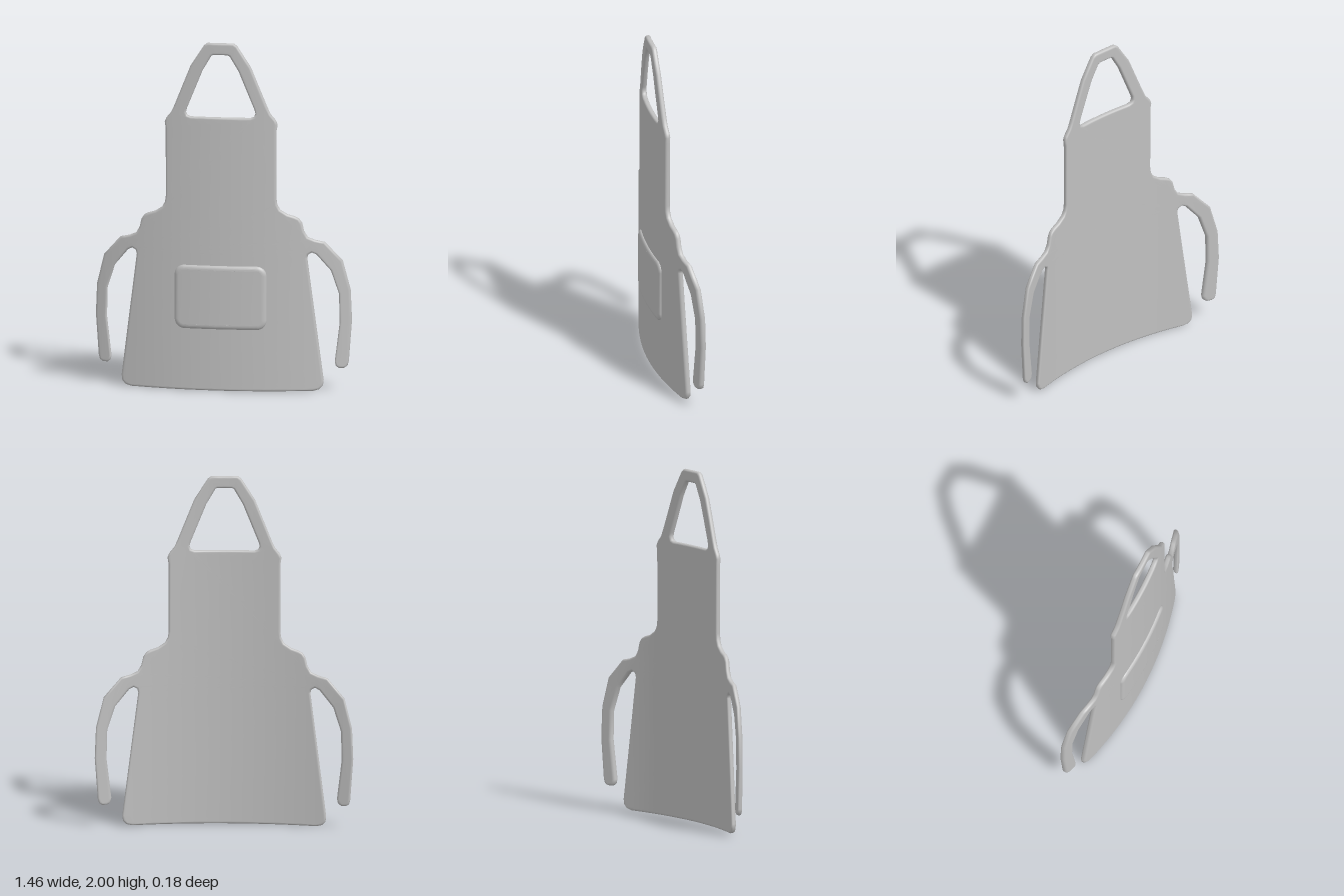
import * as THREE from 'three';
import { mergeVertices } from 'three/addons/utils/BufferGeometryUtils.js';

const CURVE = 0.26;   // how strongly the cloth wraps backwards
const MAX_DX = 0.05;  // widest facet across the bend

// Split triangles until no edge spans more than MAX_DX in x, then wrap the sheet
function wrapGeometry(geometry) {
  const source = geometry.index ? geometry.toNonIndexed() : geometry;
  const p = source.attributes.position;
  const stack = [];
  for (let i = 0; i < p.count; i += 3) {
    stack.push([0, 1, 2].map((j) => new THREE.Vector3().fromBufferAttribute(p, i + j)));
  }
  const out = [];
  while (stack.length) {
    const t = stack.pop();
    const spans = t.map((v, j) => Math.abs(v.x - t[(j + 1) % 3].x));
    const j = spans.indexOf(Math.max(...spans));
    if (spans[j] > MAX_DX) {
      const a = t[j], b = t[(j + 1) % 3], c = t[(j + 2) % 3];
      const m = a.clone().add(b).multiplyScalar(0.5);
      stack.push([a, m, c], [m, b, c]);
    } else {
      for (const v of t) out.push(v.x, v.y, v.z - CURVE * v.x * v.x);
    }
  }
  const bent = new THREE.BufferGeometry();
  bent.setAttribute('position', new THREE.Float32BufferAttribute(out, 3));
  const smooth = mergeVertices(bent, 1e-4);
  smooth.computeVertexNormals();
  return smooth;
}

// Soft-edged slab between two depths, kept inside the drawn outline
function sheet(shape, back, front, bevelSize, bevelThickness, bevelSegments) {
  const geometry = new THREE.ExtrudeGeometry(shape, {
    depth: front - back - 2 * bevelThickness, bevelEnabled: true,
    bevelSize, bevelThickness, bevelSegments, bevelOffset: -bevelSize, curveSegments: 6,
  });
  geometry.translate(0, 0, back + bevelThickness);
  return wrapGeometry(geometry);
}

// Closed symmetric outline from its +x half
function mirrored(half) {
  const left = half.map(([x, y]) => [-x, y]).reverse();
  return [...half, ...left].map(([x, y]) => new THREE.Vector2(x, y));
}

function roundedRect(x, y, w, h, r) {
  const s = new THREE.Shape();
  s.absarc(x + w - r, y + r, r, -Math.PI / 2, 0);
  s.absarc(x + w - r, y + h - r, r, 0, Math.PI / 2);
  s.absarc(x + r, y + h - r, r, Math.PI / 2, Math.PI);
  s.absarc(x + r, y + r, r, Math.PI, Math.PI * 1.5);
  s.closePath();
  return s;
}

export function createModel() {
  const cloth = new THREE.MeshStandardMaterial({ color: 0xc0c0c0 });
  cloth.name = 'grey cloth';
  const model = new THREE.Group();
  model.name = 'apron';

  // Skirt, waist ties, bib and neck loop share one outline
  const outline = mirrored([
    [0.52, 0], [0.553, 0.009], [0.572, 0.03], [0.576, 0.06],            // hem corner
    [0.486, 0.765], [0.492, 0.786], [0.512, 0.797], [0.537, 0.785],     // skirt side
    [0.616, 0.69], [0.66, 0.555], [0.664, 0.39], [0.637, 0.165],        // tie, inside
    [0.643, 0.14], [0.66, 0.127], [0.688, 0.127], [0.706, 0.139], [0.713, 0.165],
    [0.73, 0.4], [0.723, 0.575], [0.68, 0.745], [0.583, 0.855],         // tie, outside
    [0.53, 0.868], [0.49, 0.885], [0.469, 0.92], [0.458, 0.968],        // waist step
    [0.442, 0.992], [0.42, 1.005], [0.378, 1.018], [0.336, 1.045], [0.32, 1.075],
    [0.315, 1.11], [0.316, 1.5], [0.322, 1.535], [0.312, 1.56],         // bib side
    [0.283, 1.595], [0.265, 1.635], [0.172, 1.865], [0.095, 1.985], [0.075, 2],
  ]);
  const body = new THREE.Shape(outline);
  body.holes.push(new THREE.Path(mirrored([
    [0.17, 1.573], [0.19, 1.58], [0.198, 1.598], [0.193, 1.62],
    [0.103, 1.84], [0.052, 1.926], [0.04, 1.932],
  ]).reverse()));
  const apron = new THREE.Mesh(sheet(body, 0.042, 0.073, 0.012, 0.012, 4), cloth);
  apron.name = 'apronBody';
  model.add(apron);

  // Raised front pocket
  const pocketShape = roundedRect(-0.262, 0.355, 0.524, 0.365, 0.055);
  const pocket = new THREE.Mesh(sheet(pocketShape, 0.05, 0.088, 0.025, 0.016, 5), cloth);
  pocket.name = 'pocket';
  model.add(pocket);

  return model;
}
